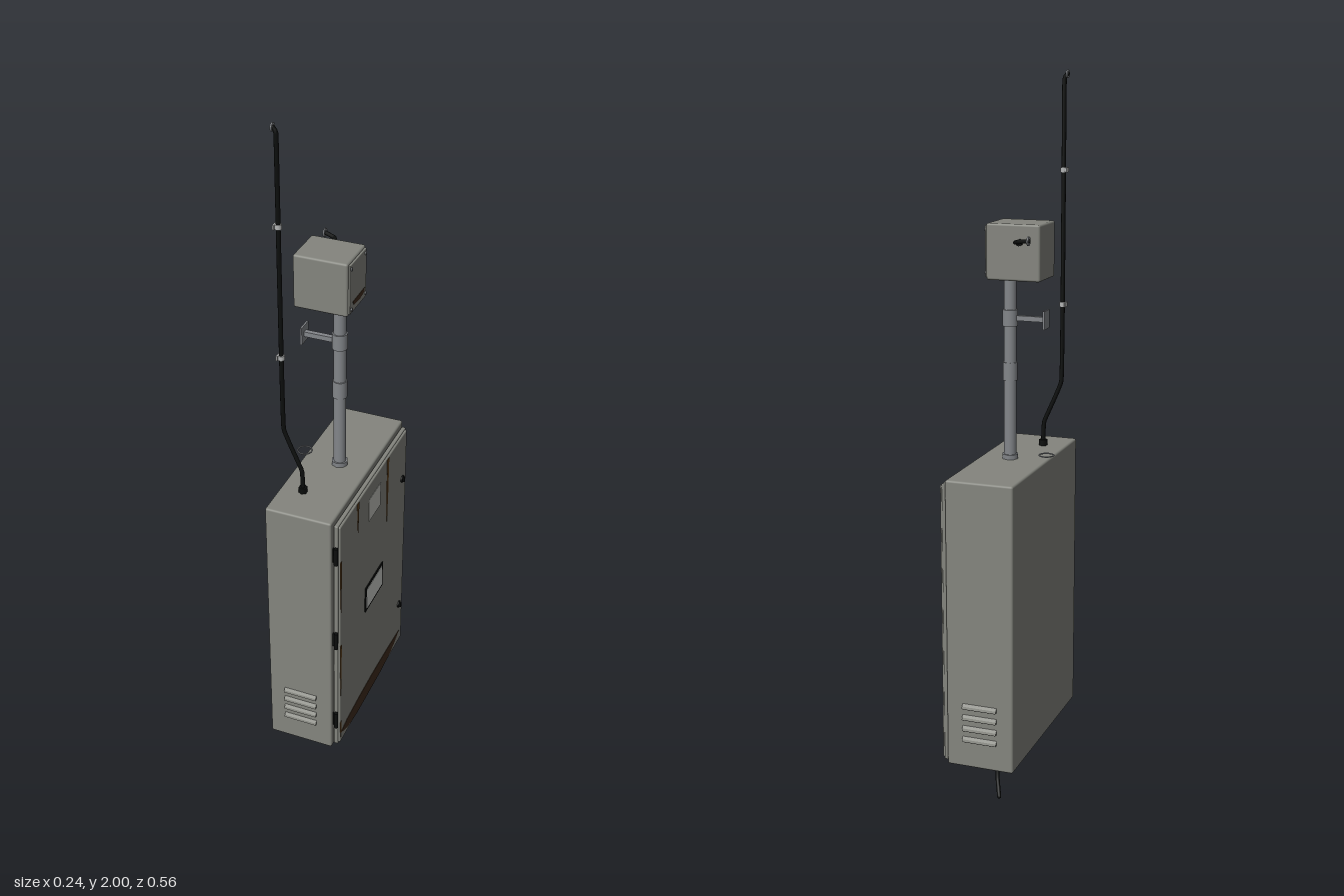
import * as THREE from 'three';
import { RoundedBoxGeometry } from 'three/addons/geometries/RoundedBoxGeometry.js';

const mat = (name, color, side = THREE.FrontSide) => {
  const m = new THREE.MeshStandardMaterial({ color, side });
  m.name = name;
  return m;
};

export function createModel() {
  const root = new THREE.Group();
  root.name = 'utilityCabinet';
  const paint = mat('greyPaint', 0x84857e);
  const metal = mat('galvanisedMetal', 0x83868a);
  const light = mat('clampMetal', 0xb4b6b6);
  const black = mat('blackRubber', 0x0c0e0d);
  const rust = mat('darkRust', 0x3e2c1e);
  const streak = mat('rustStreak', 0x5c4020);
  const label = mat('paleLabel', 0xc3c4be);
  const screen = mat('screenGlass', 0xcdd0cc);

  const add = (name, geo, m, x = 0, y = 0, z = 0, parent = root) => {
    const mesh = new THREE.Mesh(geo, m);
    mesh.name = name;
    mesh.position.set(x, y, z);
    parent.add(mesh);
    return mesh;
  };
  const box = (name, m, w, h, d, x, y, z, parent) =>
    add(name, new THREE.BoxGeometry(w, h, d), m, x, y, z, parent);
  const rbox = (name, m, w, h, d, r, x, y, z) =>
    add(name, new RoundedBoxGeometry(w, h, d, 3, r), m, x, y, z);
  const cyl = (name, m, r, h, x, y, z, axis = 'y', sides = 20) => {
    const g = new THREE.CylinderGeometry(r, r, h, sides);
    if (axis === 'x') g.rotateZ(Math.PI / 2);
    if (axis === 'z') g.rotateX(Math.PI / 2);
    return add(name, g, m, x, y, z);
  };
  // Cable through points with tight bends and rounded ends
  const cable = (name, pts, r, tension = 0.12) => {
    const v = pts.map(p => new THREE.Vector3(...p));
    const curve = new THREE.CatmullRomCurve3(v, false, 'catmullrom', tension);
    add(name, new THREE.TubeGeometry(curve, 120, r, 10), black);
    for (const p of [v[0], v[v.length - 1]])
      add(name + 'End', new THREE.SphereGeometry(r, 10, 8), black, p.x, p.y, p.z);
  };
  // Thin decal facing +x from [z, y] corners
  const decal = (name, m, x, pts) => {
    const s = new THREE.Shape(pts.map(([z, y]) => new THREE.Vector2(-z, y)));
    const g = new THREE.ExtrudeGeometry(s, { depth: 0.0015, bevelEnabled: false });
    g.rotateY(Math.PI / 2);
    add(name, g, m, x);
  };

  // Cabinet body, gasket and two-step door
  rbox('cabinetBody', paint, 0.19, 0.81, 0.542, 0.006, -0.005, 0.555, 0);
  box('doorGasket', black, 0.006, 0.77, 0.5, 0.091, 0.553, 0);
  rbox('doorFlange', paint, 0.012, 0.79, 0.516, 0.003, 0.098, 0.551, -0.001);
  rbox('doorPanel', paint, 0.014, 0.782, 0.508, 0.004, 0.103, 0.551, -0.001);

  // Hinges on one edge, locks on the other
  for (const y of [0.85, 0.555, 0.255]) {
    cyl('hingePin', black, 0.006, 0.055, 0.101, y, 0.262, 'y', 12);
    box('hingeLeaf', black, 0.014, 0.045, 0.006, 0.097, y, 0.257);
  }
  for (const y of [0.79, 0.316]) {
    cyl('lockBase', black, 0.011, 0.005, 0.1115, y, -0.222, 'x');
    box('lockKnob', black, 0.007, 0.016, 0.006, 0.1155, y, -0.222);
  }

  // Display window and label
  box('windowFrame', black, 0.004, 0.086, 0.136, 0.111, 0.553, 0);
  box('windowScreen', screen, 0.002, 0.07, 0.12, 0.113, 0.553, 0);
  box('doorLabel', label, 0.0015, 0.076, 0.086, 0.1105, 0.857, 0);

  // Rust on the door
  decal('bottomRust', rust, 0.1097, [[0.25, 0.197], [0.2, 0.208], [0.1, 0.213],
    [0, 0.214], [-0.12, 0.21], [-0.232, 0.202], [-0.2, 0.186], [-0.16, 0.172],
    [-0.08, 0.163], [0.12, 0.163], [0.2, 0.174]]);
  const drip = (z, top, bottom, w) => decal('rustDrip', streak, 0.1097,
    [[z + w / 2, top], [z + w * 0.4, (top + bottom) / 2], [z, bottom],
      [z - w * 0.35, (top + bottom) / 2], [z - w / 2, top]]);
  drip(0.127, 0.938, 0.838, 0.013);
  drip(-0.1, 0.938, 0.72, 0.015);
  drip(0.249, 0.825, 0.65, 0.01);
  drip(0.249, 0.53, 0.34, 0.01);
  drip(0.249, 0.24, 0.18, 0.01);

  // Louvre hoods on both narrow sides
  const hood = new THREE.Shape([new THREE.Vector2(0, -0.006),
    new THREE.Vector2(0.009, -0.006), new THREE.Vector2(0.007, 0), new THREE.Vector2(0, 0.008)]);
  const hoodGeo = new THREE.ExtrudeGeometry(hood, { depth: 0.098, bevelEnabled: false });
  hoodGeo.translate(0, 0, -0.049).rotateY(-Math.PI / 2);
  for (const side of [1, -1]) {
    const louvres = new THREE.Group();
    louvres.name = side > 0 ? 'louvresFront' : 'louvresBack';
    louvres.rotation.y = side > 0 ? 0 : Math.PI;
    for (let i = 0; i < 4; i++) {
      const y = 0.233 + i * 0.032;
      add('louvreHood', hoodGeo, paint, -0.005 * side, y, 0.27, louvres);
      box('louvreSlot', black, 0.094, 0.003, 0.007, -0.005 * side, y - 0.0065, 0.2735, louvres);
    }
    root.add(louvres);
  }

  // Conduit pole with collars
  cyl('pole', metal, 0.017, 0.51, 0.005, 1.215, 0);
  cyl('poleBase', metal, 0.023, 0.014, 0.005, 0.966, 0, 'y', 8);
  cyl('poleCoupling', metal, 0.02, 0.05, 0.005, 1.205, 0);
  cyl('poleClamp', metal, 0.021, 0.045, 0.005, 1.352, 0);

  // Wall bracket
  box('bracketArm', metal, 0.09, 0.014, 0.014, -0.053, 1.352, 0);
  box('bracketPlate', metal, 0.005, 0.05, 0.044, -0.097, 1.352, 0);

  // Hanging ring
  const ring = add('hangingRing', new THREE.TorusGeometry(0.02, 0.002, 8, 32), metal, -0.1, 0.977, 0);
  ring.rotation.x = Math.PI / 2;

  // Junction box with cover, screws and rust
  rbox('junctionBox', paint, 0.15, 0.15, 0.125, 0.006, -0.025, 1.535, -0.001);
  rbox('junctionCover', paint, 0.008, 0.138, 0.113, 0.002, 0.051, 1.535, -0.001);
  for (const y of [1.478, 1.592]) for (const z of [-0.049, 0.047])
    cyl('coverScrew', metal, 0.0045, 0.004, 0.056, y, z, 'x', 10);
  decal('junctionRust', rust, 0.0545, [[0.038, 1.495], [-0.044, 1.497],
    [-0.04, 1.485], [-0.01, 1.48], [0.03, 1.484]]);

  // Short cable from the junction box to the wall
  cyl('junctionGland', black, 0.009, 0.012, -0.045, 1.563, -0.068, 'z', 8);
  cable('junctionCable', [[-0.045, 1.563, -0.06], [-0.045, 1.567, -0.1],
    [-0.066, 1.574, -0.135], [-0.098, 1.578, -0.147]], 0.0055);
  cyl('wallFlange', metal, 0.012, 0.004, -0.098, 1.578, -0.147, 'x', 12);

  // Tall cable with gland and clamps
  cyl('tallGland', black, 0.012, 0.018, -0.035, 0.968, 0.163, 'y', 6);
  cable('tallCable', [[-0.035, 0.965, 0.163], [-0.038, 1.03, 0.163], [-0.088, 1.15, 0.163],
    [-0.09, 1.4, 0.163], [-0.09, 1.7, 0.163], [-0.09, 1.972, 0.163], [-0.099, 1.988, 0.163]], 0.006);
  for (const y of [1.368, 1.735]) {
    cyl('cableClamp', light, 0.009, 0.013, -0.09, y, 0.163, 'y', 12);
    box('clampFoot', light, 0.004, 0.013, 0.022, -0.099, y, 0.163);
  }
  cyl('topFlange', metal, 0.011, 0.004, -0.099, 1.988, 0.163, 'x', 12);

  // Loose cable under the cabinet
  cyl('bottomGland', metal, 0.014, 0.018, 0.005, 0.142, -0.107, 'y', 8);
  cable('bottomCable', [[0.005, 0.15, -0.107], [0.005, 0.09, -0.108],
    [0, 0.05, -0.12], [-0.014, 0.007, -0.145]], 0.006, 0.4);

  return root;
}
